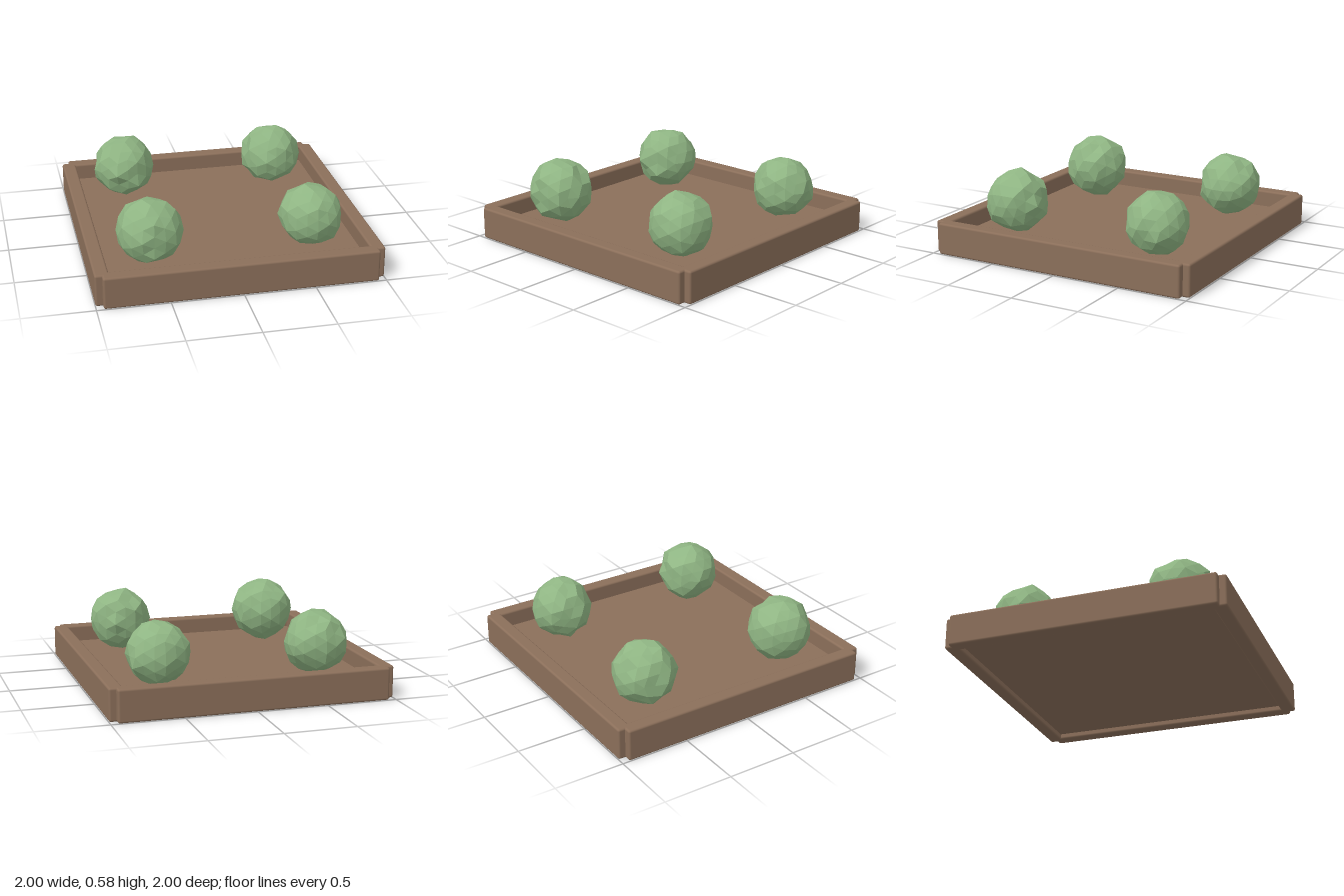
import * as THREE from 'three';
import { RoundedBoxGeometry } from 'three/addons/geometries/RoundedBoxGeometry.js';

const HEIGHT = 0.228, WALL = 0.1, FLOOR_TOP = 0.11, FLOOR_BOTTOM = 0.04;

// Lumpy low-poly ball; the offset depends on direction only, so shared corners stay joined
function bushGeometry(radius, seed) {
  const geometry = new THREE.IcosahedronGeometry(1, 2);
  const position = geometry.attributes.position;
  const v = new THREE.Vector3();
  for (let i = 0; i < position.count; i++) {
    v.fromBufferAttribute(position, i).normalize();
    const lump = Math.sin(v.x * 5.1 + seed * 2.3) * Math.sin(v.y * 4.7 + seed) * Math.sin(v.z * 5.6 - seed * 1.7);
    const jitter = Math.sin(v.x * 23 + v.y * 31 + v.z * 41 + seed * 7);
    v.multiplyScalar(radius * (1 + 0.06 * lump + 0.035 * jitter));
    position.setXYZ(i, v.x, v.y, v.z);
  }
  geometry.computeVertexNormals();
  return geometry;
}

export function createModel() {
  const model = new THREE.Group();
  model.name = 'planterTray';
  const wood = new THREE.MeshStandardMaterial({ color: 0x8b6f5a });
  const leaves = new THREE.MeshStandardMaterial({ color: 0x8fb583, flatShading: true });

  function add(name, geometry, material, x, y, z) {
    const mesh = new THREE.Mesh(geometry, material);
    mesh.name = name;
    mesh.position.set(x, y, z);
    model.add(mesh);
    return mesh;
  }

  // Raised floor panel
  add('floor', new THREE.BoxGeometry(1.84, FLOOR_TOP - FLOOR_BOTTOM, 1.84), wood,
    0, (FLOOR_TOP + FLOOR_BOTTOM) / 2, 0);

  // Four soft-edged walls, overlapping at notched corners
  const wall = new RoundedBoxGeometry(1.9, HEIGHT, WALL, 2, 0.015);
  ['frontWall', 'leftWall', 'backWall', 'rightWall'].forEach((name, i) => {
    const angle = i * Math.PI / 2;
    const r = 1 - WALL / 2;
    add(name, wall, wood, Math.sin(angle) * r, HEIGHT / 2, Math.cos(angle) * r).rotation.y = angle;
  });

  // One bush near each corner
  const bushes = [
    ['frontLeftBush', 0.57, 0.56, 0.22], ['frontRightBush', -0.57, 0.575, 0.228],
    ['backLeftBush', 0.57, -0.565, 0.218], ['backRightBush', -0.57, -0.565, 0.222],
  ];
  bushes.forEach(([name, x, z, radius], i) =>
    add(name, bushGeometry(radius, i + 1), leaves, x, 0.345, z));

  return model;
}
